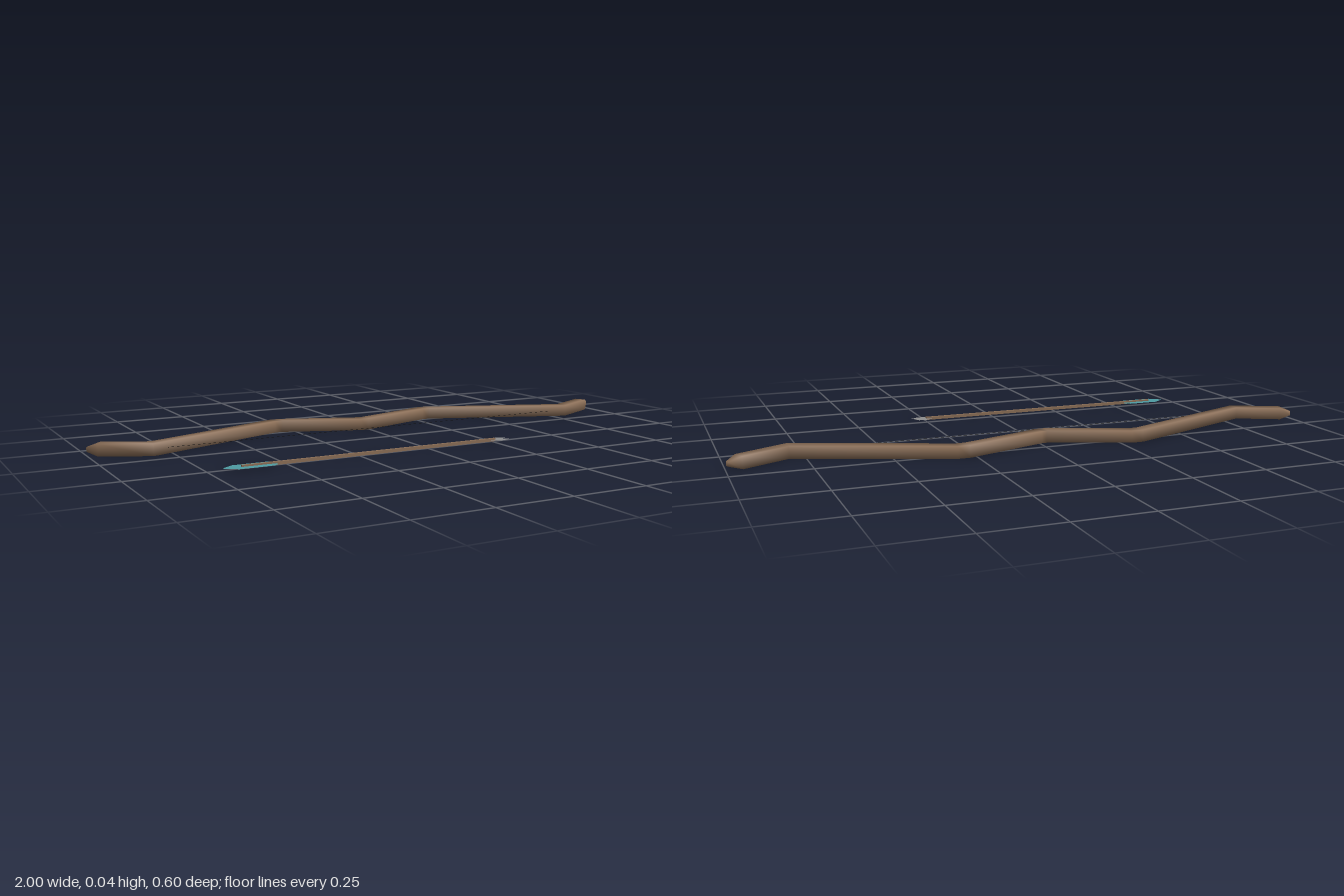
import * as THREE from 'three';

const mat = (name, color, side = THREE.FrontSide) => {
  const m = new THREE.MeshStandardMaterial({ color, side });
  m.name = name;
  return m;
};

// Sweep a rectangle along a level path of [x, z, scale], with mitred joints and soft shading
function sweep(path, halfWidth, halfHeight, y) {
  const corners = [[1, -1], [1, 1], [-1, 1], [-1, -1]];
  const pts = path.map(([x, z]) => new THREE.Vector2(x, z));
  const last = pts.length - 1;
  const pos = [], index = [];
  const dir = (i) => pts[i + 1].clone().sub(pts[i]).normalize();
  pts.forEach((p, i) => {
    const a = dir(Math.max(i - 1, 0)), b = dir(Math.min(i, last - 1));
    const d = a.clone().add(b).normalize();
    const w = halfWidth * path[i][2] / d.dot(a);
    for (const [u, v] of corners) {
      pos.push(p.x - d.y * u * w, y + v * halfHeight * path[i][2], p.y + d.x * u * w);
    }
  });
  for (let i = 0; i < last; i++) {
    for (let j = 0; j < 4; j++) {
      const a = i * 4 + j, b = i * 4 + (j + 1) % 4;
      index.push(a, a + 4, b, b, a + 4, b + 4);
    }
  }
  // End caps
  const e = last * 4;
  index.push(0, 1, 2, 0, 2, 3, e, e + 2, e + 1, e, e + 3, e + 2);
  const g = new THREE.BufferGeometry();
  g.setAttribute('position', new THREE.Float32BufferAttribute(pos, 3));
  g.setIndex(index);
  g.computeVertexNormals();
  return g;
}

// Flat level plate mirrored about the arrow axis, from half an outline of [x, z]
function plate(half) {
  const mirrored = half.map(([x, z]) => [x, -z]).reverse();
  const shape = new THREE.Shape([...half, ...mirrored].map(([x, z]) => new THREE.Vector2(x, z)));
  return new THREE.ShapeGeometry(shape).rotateX(-Math.PI / 2);
}

export function createModel() {
  const wood = mat('wood', 0x8c6f57);
  const black = mat('string black', 0x0a0a0a, THREE.DoubleSide);
  const teal = mat('feather teal', 0x4e9ca2, THREE.DoubleSide);
  const steel = mat('steel', 0x8e8e8e, THREE.DoubleSide);

  const root = new THREE.Group();
  root.name = 'bowAndArrow';
  const add = (parent, name, geometry, material) => {
    const m = new THREE.Mesh(geometry, material);
    m.name = name;
    parent.add(m);
    return m;
  };

  // Bow: recurved limbs with blunt tapered tips
  const bow = new THREE.Group();
  bow.name = 'bow';
  root.add(bow);
  add(bow, 'bowLimbs', sweep([
    [-0.997, -0.17, 0.35], [-0.963, -0.153, 1], [-0.815, -0.079, 1],
    [-0.325, -0.279, 1], [-0.29, -0.279, 1],
    [-0.03, -0.177, 1], [-0.005, -0.177, 1],
    [0.275, -0.274, 1], [0.31, -0.274, 1],
    [0.8, -0.08, 1], [0.958, -0.16, 1], [0.994, -0.178, 0.35],
  ], 0.0205, 0.02, 0.02), wood);

  // Bowstring: a thin level ribbon
  add(bow, 'bowString', new THREE.PlaneGeometry(1.58, 0.004).rotateX(-Math.PI / 2), black)
    .position.set(-0.007, 0.02, -0.078);

  // Arrow lying beside the bow
  const arrow = new THREE.Group();
  arrow.name = 'arrow';
  arrow.position.set(0, 0.01, 0.268);
  root.add(arrow);
  add(arrow, 'arrowShaft', new THREE.BoxGeometry(0.9, 0.01, 0.01), wood)
    .position.x = -0.2;
  add(arrow, 'fletching', plate([
    [-0.707, 0.003], [-0.668, 0.032], [-0.557, 0.032], [-0.54, 0.018],
  ]), teal);
  // Barbed head with a small notch at its end
  add(arrow, 'arrowHead', plate([
    [0.23, 0.008], [0.246, 0.022], [0.262, 0.026], [0.28, 0.023], [0.302, 0.011], [0.286, 0.003],
  ]), steel);

  return root;
}
